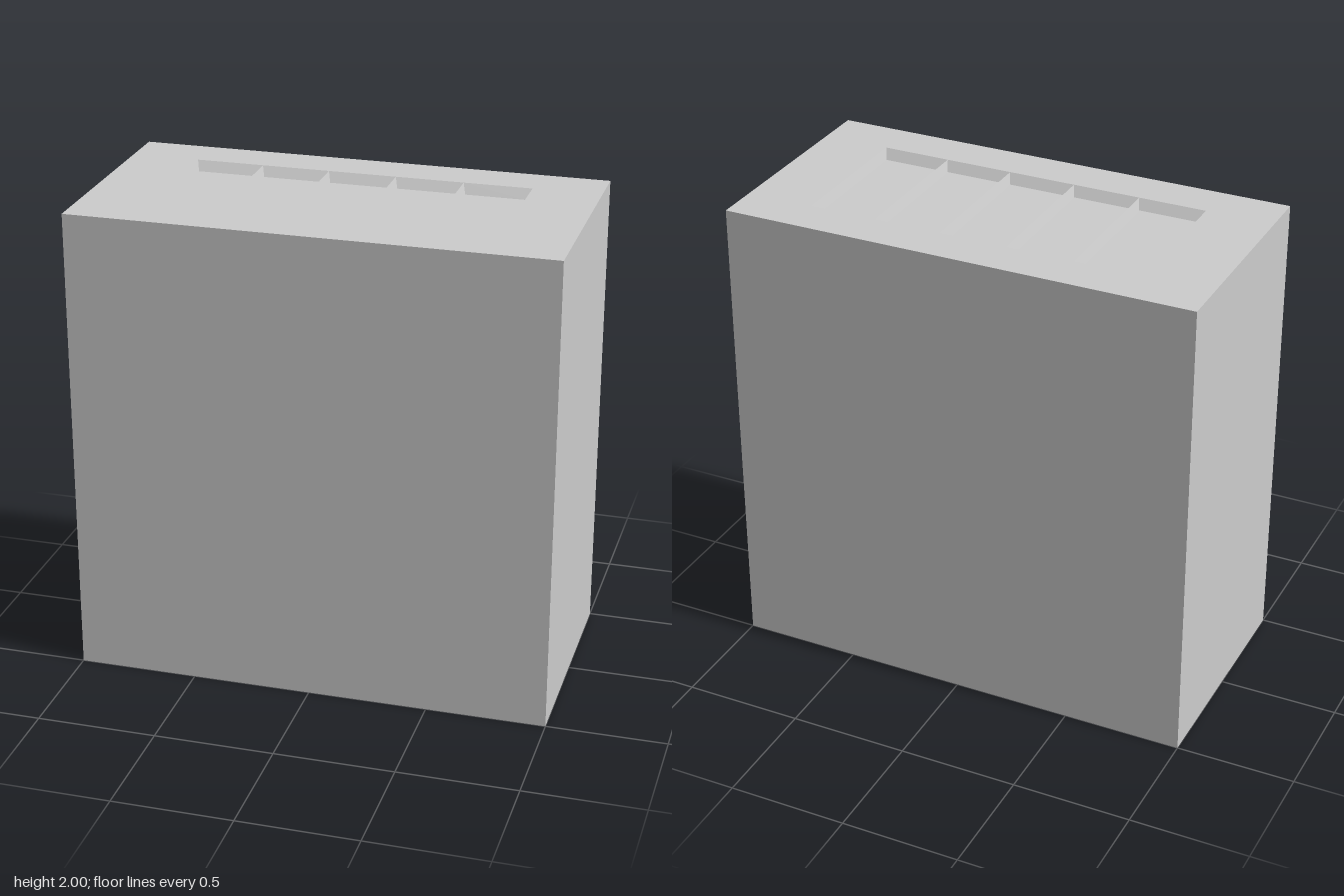
import * as THREE from 'three';

const W = 2, H = 2, D = 1;                 // block size
const CELLS = 5, PITCH = 2 / 7;            // row of shallow pockets
const LENGTH = 0.63, DEPTH = 0.04, TAPER = 0.9;

const material = new THREE.MeshStandardMaterial({ color: 0xcccccc, flatShading: true });

// Box without its upper face, standing on y = 0
function openBox(w, h, d) {
  const geo = new THREE.BoxGeometry(w, h, d).translate(0, h / 2, 0);
  const index = Array.from(geo.index.array);
  index.splice(12, 6);
  geo.setIndex(index);
  geo.clearGroups();
  return geo;
}

// Inward-facing pocket whose floor is smaller than its mouth
function pocketGeometry() {
  const geo = openBox(PITCH, DEPTH, LENGTH);
  const pos = geo.attributes.position;
  for (let i = 0; i < pos.count; i++) {
    if (pos.getY(i) < DEPTH / 2) {
      pos.setX(i, pos.getX(i) * TAPER);
      pos.setZ(i, pos.getZ(i) * TAPER);
    }
  }
  geo.setIndex(Array.from(geo.index.array).reverse());
  geo.computeVertexNormals();
  return geo;
}

function rectangle(path, w, h) {
  path.moveTo(-w / 2, -h / 2);
  path.lineTo(w / 2, -h / 2);
  path.lineTo(w / 2, h / 2);
  path.lineTo(-w / 2, h / 2);
  path.closePath();
  return path;
}

export function createModel() {
  const group = new THREE.Group();
  const add = (name, geo) => {
    const mesh = new THREE.Mesh(geo, material);
    mesh.name = name;
    group.add(mesh);
    return mesh;
  };

  // Sides and underside
  add('body', openBox(W, H, D));

  // Flat top surface around the pockets
  const rim = rectangle(new THREE.Shape(), W, D);
  rim.holes.push(rectangle(new THREE.Path(), CELLS * PITCH, LENGTH));
  add('topRim', new THREE.ShapeGeometry(rim).rotateX(-Math.PI / 2).translate(0, H, 0));

  // Pockets side by side; their sloped walls meet in ridges level with the top
  const pocket = pocketGeometry();
  for (let i = 0; i < CELLS; i++) {
    add(`pocket${i + 1}`, pocket).position.set((i - (CELLS - 1) / 2) * PITCH, H - DEPTH, 0);
  }
  return group;
}
